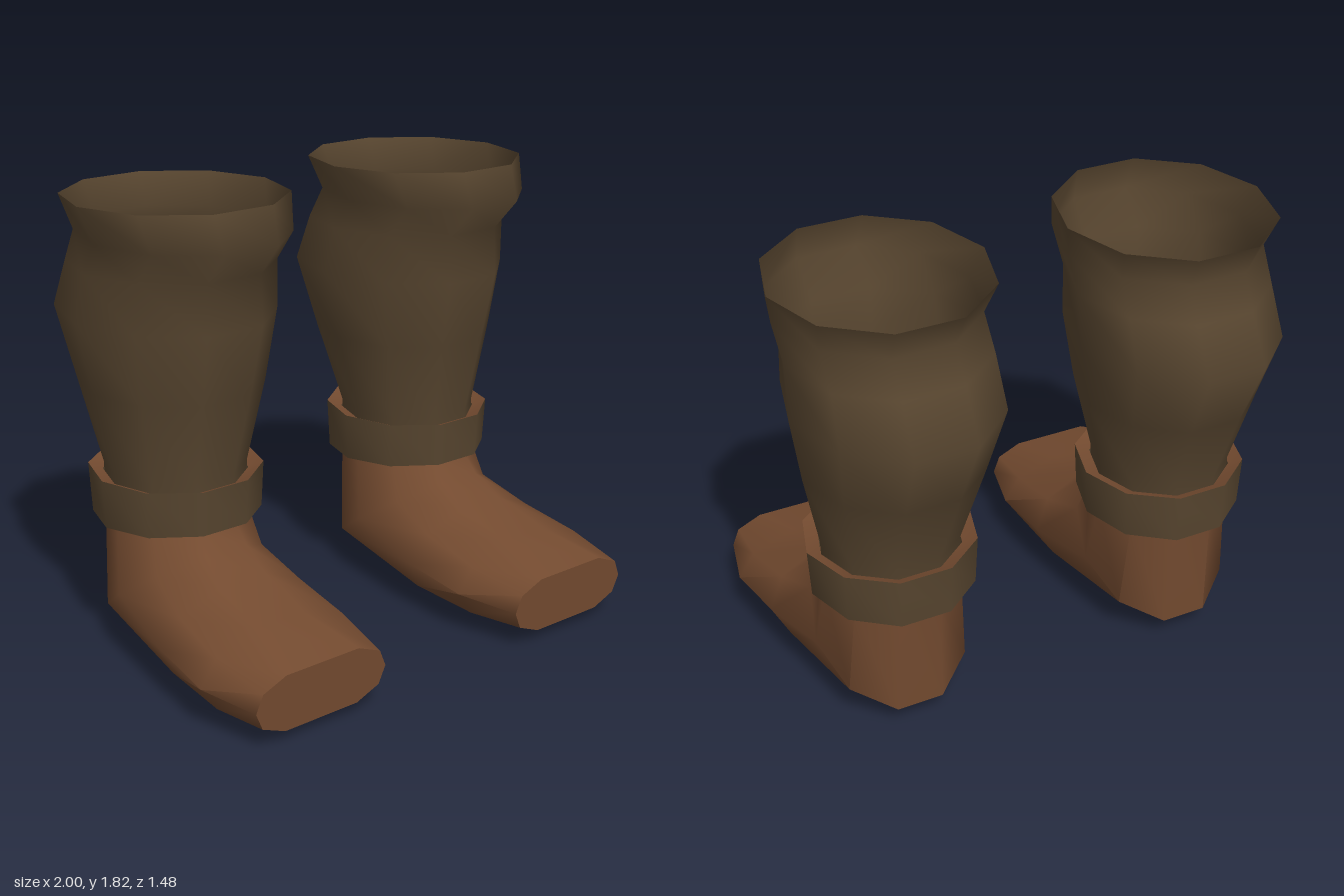
import * as THREE from 'three';
import { toCreasedNormals } from 'three/addons/utils/BufferGeometryUtils.js';

const SIDES = 10;

// Ring: x0, x1 = inner and outer side; [z, y] of front/top edge and of back/bottom edge;
// wide (optional) = squarer outline.
const ring = (x0, x1, front, back, wide = false) => ({ x0, x1, front, back, wide });

function ringPoints(r, side) {
  const cx = side * (r.x0 + r.x1) / 2, hx = (r.x1 - r.x0) / 2;
  const points = [];
  for (let j = 0; j < SIDES; j++) {
    const a = (j / SIDES) * Math.PI * 2;
    const s = Math.sin(a) / Math.sin(Math.PI * 0.4);
    let c = Math.cos(a);
    if (r.wide) c = Math.sign(c) * Math.pow(Math.abs(c), 0.5);
    const f = (1 + s) / 2;
    points.push(new THREE.Vector3(
      cx + hx * c,
      r.back[1] + (r.front[1] - r.back[1]) * f,
      r.back[0] + (r.front[0] - r.back[0]) * f
    ));
  }
  return points;
}

// Skin a list of rings, optionally closing the last one
function loft(rings, side, capEnd = false, crease = 1.1) {
  const pos = [], index = [];
  for (const r of rings) for (const p of ringPoints(r, side)) pos.push(p.x, p.y, p.z);
  for (let i = 0; i < rings.length - 1; i++) {
    for (let j = 0; j < SIDES; j++) {
      const k = (j + 1) % SIDES;
      const a = i * SIDES + j, b = i * SIDES + k;
      index.push(a, b, a + SIDES, b, b + SIDES, a + SIDES);
    }
  }
  if (capEnd) {
    const base = (rings.length - 1) * SIDES;
    for (let j = 1; j < SIDES - 1; j++) index.push(base, base + j, base + j + 1);
  }
  const g = new THREE.BufferGeometry();
  g.setAttribute('position', new THREE.Float32BufferAttribute(pos, 3));
  g.setIndex(index);
  return toCreasedNormals(g, crease);
}

// Shaft from the rim down to the ankle
const shaftRings = [
  ring(0.17, 1.00, [0.24, 1.82], [-0.63, 1.805]),
  ring(0.205, 0.97, [0.285, 1.68], [-0.57, 1.68]),
  ring(0.20, 0.965, [0.17, 1.555], [-0.64, 1.55]),
  ring(0.19, 0.98, [0.175, 1.36], [-0.74, 1.36]),
  ring(0.24, 0.935, [0.115, 1.08], [-0.62, 1.08]),
  ring(0.325, 0.87, [0.045, 0.75], [-0.50, 0.75]),
  ring(0.33, 0.865, [0.04, 0.57], [-0.495, 0.57]),
];

// Foot from the ankle, round the heel, to the blunt toe
const footRings = [
  ring(0.325, 0.87, [0.045, 0.565], [-0.50, 0.56]),
  ring(0.295, 0.905, [0.11, 0.48], [-0.48, 0.085]),
  ring(0.267, 0.955, [0.23, 0.405], [0.14, 0.005]),
  ring(0.265, 0.985, [0.48, 0.343], [0.48, 0.017]),
  ring(0.335, 0.925, [0.735, 0.28], [0.725, 0.055], true),
];

// Ankle cuff
const cuffTop = ring(0.26, 0.93, [0.105, 0.743], [-0.56, 0.745]);
const cuffBottom = ring(0.27, 0.92, [0.095, 0.563], [-0.55, 0.54]);
const cuffInnerTop = ring(0.32, 0.875, [0.05, 0.72], [-0.505, 0.72]);
const cuffInnerBottom = ring(0.32, 0.875, [0.05, 0.565], [-0.505, 0.55]);

export function createModel() {
  const shaftCloth = new THREE.MeshStandardMaterial({ color: 0x57452f, side: THREE.DoubleSide });
  shaftCloth.name = 'dark brown shaft';
  const leather = new THREE.MeshStandardMaterial({ color: 0x744b30, side: THREE.DoubleSide });
  leather.name = 'red brown leather';

  const model = new THREE.Group();
  model.name = 'pairOfBoots';

  for (const side of [1, -1]) {
    const boot = new THREE.Group();
    boot.name = side > 0 ? 'leftBoot' : 'rightBoot';
    const add = (name, geometry, material) => {
      const mesh = new THREE.Mesh(geometry, material);
      mesh.name = name;
      boot.add(mesh);
    };
    add('shaft', loft(shaftRings, side, true, 1.3), shaftCloth);
    add('foot', loft(footRings, side, true), leather);
    add('cuff', loft([cuffTop, cuffBottom], side), shaftCloth);
    add('cuffTopEdge', loft([cuffInnerTop, cuffTop], side), leather);
    add('cuffUnderside', loft([cuffBottom, cuffInnerBottom], side), leather);
    model.add(boot);
  }
  return model;
}
